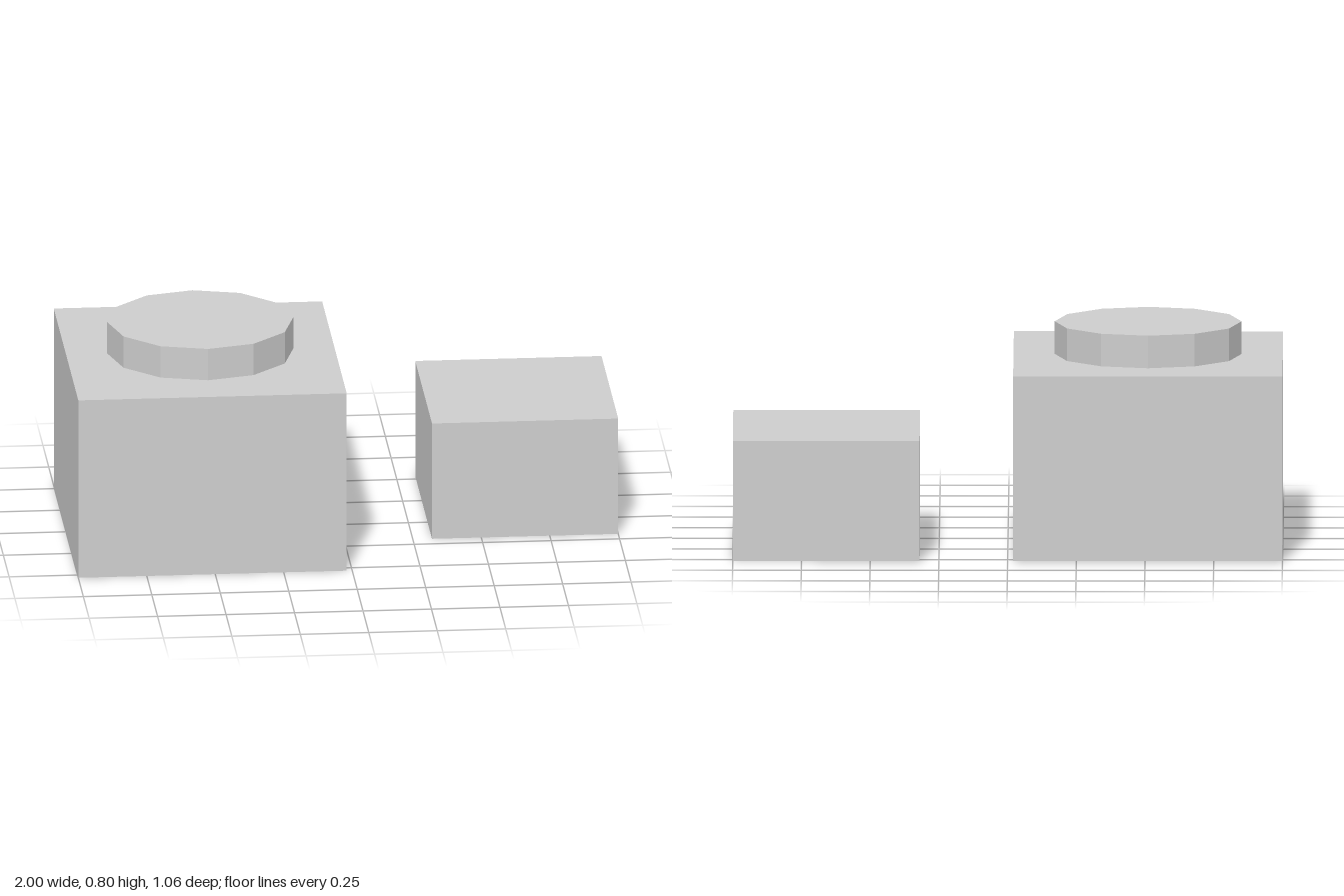
import * as THREE from 'three';

export function createModel() {
  const group = new THREE.Group();
  const lightGrey = new THREE.MeshStandardMaterial({ color: 0xcccccc, flatShading: true });
  lightGrey.name = 'lightGrey';

  // Adds a named part resting at height y, centred on (x, z)
  const add = (name, geometry, height, x, y, z) => {
    const mesh = new THREE.Mesh(geometry, lightGrey);
    mesh.name = name;
    mesh.position.set(x, y + height / 2, z);
    group.add(mesh);
  };
  const box = (name, w, h, d, x, y, z) => add(name, new THREE.BoxGeometry(w, h, d), h, x, y, z);

  // Large block with a twelve-sided disc on top
  box('largeBlock', 0.98, 0.68, 1.064, -0.51, 0, 0);
  add('topDisc', new THREE.CylinderGeometry(0.34, 0.34, 0.12, 12), 0.12, -0.51, 0.68, 0);

  // Separate small block, flush with the back of the large one
  box('smallBlock', 0.68, 0.442, 0.724, 0.66, 0, -0.17);

  return group;
}
